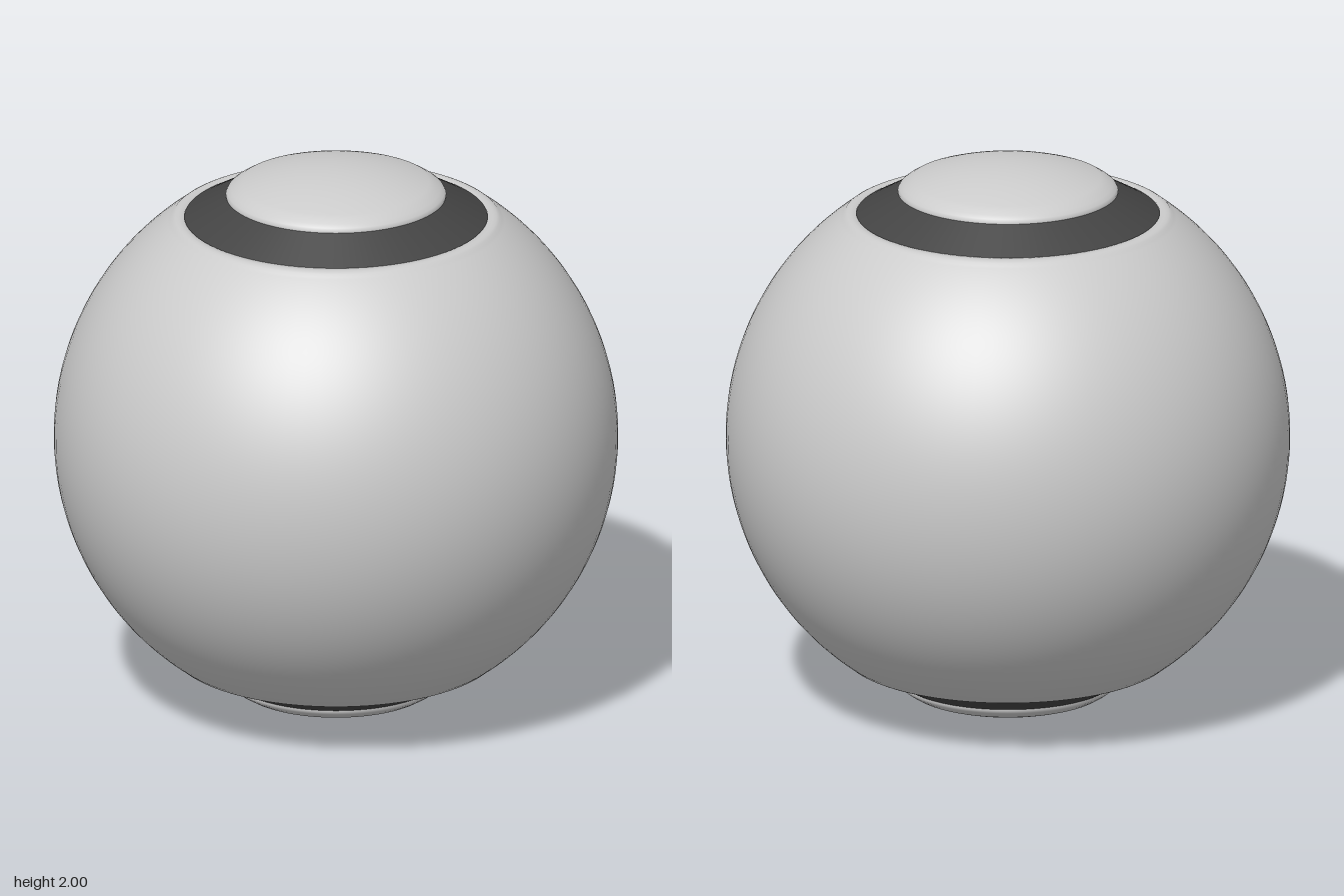
import * as THREE from 'three';

const R = 0.995;   // main sphere radius
const SEGMENTS = 96;

const grey = new THREE.MeshStandardMaterial({ color: 0xcccccc });
const dark = new THREE.MeshStandardMaterial({ color: 0x444444 });

// Points along the sphere profile between two angles measured from the equator
function arc(radius, from, to, steps) {
  return Array.from({ length: steps + 1 }, (_, i) => {
    const a = from + (to - from) * i / steps;
    return new THREE.Vector2(Math.max(0, radius * Math.cos(a)), radius * Math.sin(a));
  });
}

// Revolve a bottom-to-top profile about the vertical axis
function revolve(name, points, material) {
  const mesh = new THREE.Mesh(new THREE.LatheGeometry(points, SEGMENTS), material);
  mesh.name = name;
  return mesh;
}

const pts = (list) => list.map(([x, y]) => new THREE.Vector2(x, y));

// One pole: sloping dark ring and a domed button with a rounded rim
function createPole(name) {
  const pole = new THREE.Group();
  pole.name = name;
  pole.add(revolve('ring', pts([[0.535, 0.815], [0.388, 0.897]]), dark));
  const dome = arc(1, Math.acos(0.345), Math.PI / 2, 20);
  const rim = pts([[0.388, 0.895], [0.389, 0.903], [0.383, 0.913], [0.369, 0.924]]);
  pole.add(revolve('button', [...rim, ...dome], grey));
  return pole;
}

export function createModel() {
  const model = new THREE.Group();
  model.name = 'ball';

  // Spherical shell with softly rounded lips around both openings
  const lip = [[0.585, 0.804], [0.577, 0.812], [0.567, 0.817], [0.555, 0.819], [0.535, 0.819], [0.533, 0.81]];
  const lower = lip.map(([x, y]) => [x, -y]).reverse();
  const end = Math.acos(0.595 / R);
  model.add(revolve('shell', [...pts(lower), ...arc(R, -end, end, 64), ...pts(lip)], grey));

  // The same pole at the top and, turned over, at the bottom
  const top = createPole('topPole');
  const bottom = createPole('bottomPole');
  bottom.rotation.x = Math.PI;
  model.add(top, bottom);

  model.position.y = 1;
  const root = new THREE.Group();
  root.add(model);
  return root;
}
